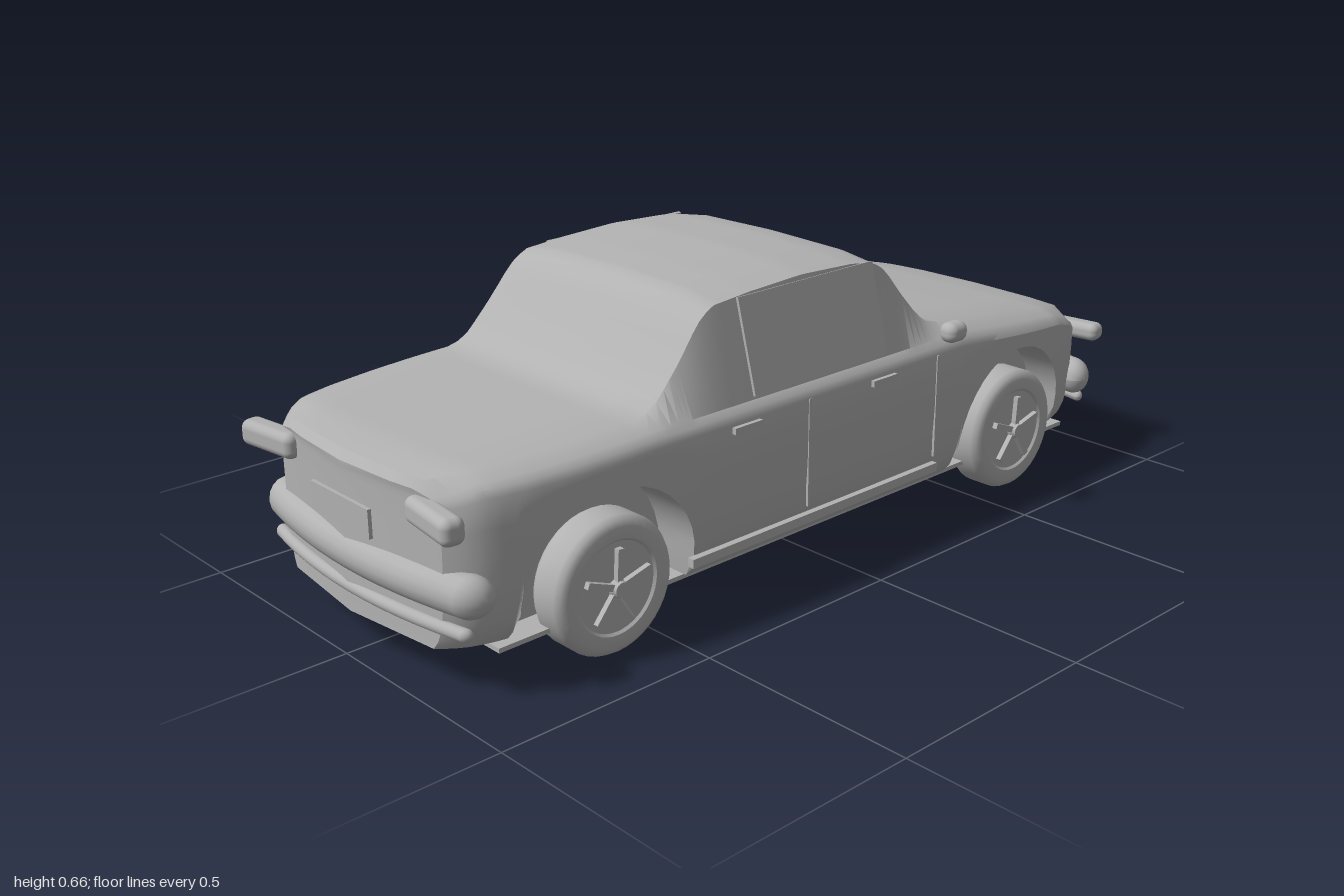
import * as THREE from 'three';
import { toCreasedNormals } from 'three/addons/utils/BufferGeometryUtils.js';
import { RoundedBoxGeometry } from 'three/addons/geometries/RoundedBoxGeometry.js';

const SILL = 0.09, ARCH_R = 0.205, ARCH_Y = 0.145, WHEELS = [-0.62, 0.615];

// Piecewise linear lookup in [key, value] pairs
function look(table, x) {
  if (x <= table[0][0]) return table[0][1];
  for (let i = 1; i < table.length; i++) {
    const [x0, y0] = table[i - 1], [x1, y1] = table[i];
    if (x <= x1) return y0 + (y1 - y0) * (x - x0) / (x1 - x0);
  }
  return table[table.length - 1][1];
}
const lerp = THREE.MathUtils.lerp;

const TOP = [[-0.985, 0.405], [-0.97, 0.422], [-0.9, 0.435], [-0.52, 0.447], [-0.49, 0.456], [-0.46, 0.475],
  [-0.40, 0.545], [-0.35, 0.612], [-0.33, 0.632], [-0.30, 0.648], [-0.2, 0.657], [-0.05, 0.664], [0.1, 0.657], [0.16, 0.648],
  [0.19, 0.635], [0.21, 0.617], [0.26, 0.55], [0.31, 0.49], [0.34, 0.467], [0.38, 0.455], [0.6, 0.428],
  [0.8, 0.398], [0.92, 0.373], [0.97, 0.348], [0.985, 0.335]];
const WIDTH = [[0, 0.378], [0.4, 0.377], [0.6, 0.372], [0.7, 0.365], [0.8, 0.352], [0.87, 0.336], [0.92, 0.32], [0.96, 0.3], [0.985, 0.275]];
const SHOULDER = [[-0.985, 0.375], [-0.9, 0.395], [-0.5, 0.405], [0.4, 0.405], [0.8, 0.365], [0.985, 0.31]];
const BELT = [[-0.985, 0.395], [-0.9, 0.42], [-0.5, 0.432], [0.4, 0.432], [0.8, 0.385], [0.985, 0.325]];
const SIDE = [[0.09, 0.88], [0.11, 0.93], [0.14, 0.965], [0.2, 0.99], [0.28, 1]];

// Half cross-section from the sill up to the centre of the roof
function halfSection(x, yb) {
  const w = look(WIDTH, Math.abs(x)), h = look(TOP, x);
  const ys = look(SHOULDER, x), belt = look(BELT, x), beltZ = w - 0.022;
  const pts = [];
  for (let j = 0; j <= 7; j++) {
    const y = lerp(yb, ys, Math.pow(j / 7, 1.4));
    pts.push([y, w * look(SIDE, y)]);
  }
  pts.push([lerp(ys, belt, 0.6), w - 0.008], [belt, beltZ]);
  const edgeZ = beltZ - 0.04 - 0.015 * (h - belt) / 0.23;
  pts.push([lerp(belt, h, 0.92), edgeZ], [lerp(belt, h, 0.98), 0.21 * w / 0.378], [h, 0]);
  const bow = 0.035 * THREE.MathUtils.smoothstep(Math.abs(x), 0.85, 0.985) * Math.sign(x);
  return pts.map(([y, z]) => new THREE.Vector3(x - bow * (z / w) ** 2, y, z));
}

function geometryFrom(points, index) {
  const g = new THREE.BufferGeometry().setFromPoints(points);
  g.setIndex(index);
  return toCreasedNormals(g, 0.5);
}

// Strip of faces between two equally long rows of points
function strip(a, b) {
  const index = [], n = a.length;
  for (let i = 0; i < n - 1; i++) index.push(i, i + 1, n + i + 1, i, n + i + 1, n + i);
  return geometryFrom([...a, ...b], index);
}

// Stations along the wheel opening, rear to front
function archStations(cx) {
  const list = [[cx - ARCH_R - 0.008, SILL]];
  for (let k = 0; k <= 18; k++) {
    const t = Math.PI * (1 - k / 18);
    list.push([cx + ARCH_R * Math.cos(t), ARCH_Y + ARCH_R * Math.sin(t)]);
  }
  list.push([cx + ARCH_R + 0.008, SILL]);
  return list;
}

function bodyGeometry() {
  const plain = xs => xs.map(x => [x, SILL]);
  const middle = [];
  for (let i = 0; i <= 38; i++) middle.push(-0.38 + i * 0.02);
  const ends = [0.985, 0.97, 0.95, 0.92, 0.89, 0.86];
  const stations = [...plain(ends.map(x => -x)), ...archStations(WHEELS[0]), ...plain(middle),
    ...archStations(WHEELS[1]), ...plain(ends.slice().reverse())];
  const points = [], index = [];
  let n = 0;
  for (const [x, yb] of stations) {
    const half = halfSection(x, yb);
    const ring = [...half, ...half.slice(0, -1).reverse().map(p => new THREE.Vector3(p.x, p.y, -p.z))];
    n = ring.length;
    points.push(...ring);
  }
  const quad = (a, b, c, d) => index.push(a, b, c, a, c, d);
  for (let i = 0; i < stations.length - 1; i++) {
    const p = i * n, q = p + n;
    for (let j = 0; j < n - 1; j++) quad(p + j, q + j, q + j + 1, p + j + 1);
    if (stations[i][1] === SILL && stations[i + 1][1] === SILL) quad(p, p + n - 1, q + n - 1, q);
  }
  // Nose and tail faces with a slightly pointed centre line
  const half = (n - 1) / 2;
  for (const [start, front] of [[0, false], [(stations.length - 1) * n, true]]) {
    const mid = points.length;
    for (let j = 0; j <= half; j++) points.push(new THREE.Vector3(front ? 0.985 : -0.985, points[start + j].y, 0));
    for (let j = 0; j < half; j++) {
      const l = start + j, r = start + n - 1 - j, m = mid + j;
      if (front) { quad(l, m, m + 1, l + 1); quad(m, r, r - 1, m + 1); }
      else { quad(m, l, l + 1, m + 1); quad(r, m, m + 1, r - 1); }
    }
  }
  return geometryFrom(points, index);
}

export function createModel() {
  const car = new THREE.Group();
  car.name = 'car';
  const grey = new THREE.MeshStandardMaterial({ color: 0xb2b2b2, side: THREE.DoubleSide });
  grey.name = 'plain grey';
  const add = (name, geometry, x = 0, y = 0, z = 0, parent = car) => {
    const mesh = new THREE.Mesh(geometry, grey);
    mesh.name = name;
    mesh.position.set(x, y, z);
    parent.add(mesh);
    return mesh;
  };
  const box = (name, w, h, d, x, y, z, parent) => add(name, new THREE.BoxGeometry(w, h, d), x, y, z, parent);
  const pill = (name, w, h, d, r, x, y, z) => add(name, new RoundedBoxGeometry(w, h, d, 4, r), x, y, z);

  add('body', bodyGeometry());
  box('floor', 1.74, 0.01, 0.65, 0, 0.085, 0);

  // Wheel wells
  for (const cx of WHEELS) for (const s of [1, -1]) {
    const rim = archStations(cx).map(([x, y]) => {
      const p = halfSection(x, y)[0];
      return p.setZ(p.z * s);
    });
    const inner = rim.map(p => new THREE.Vector3(p.x, p.y, 0.26 * s));
    add('wheelWell', strip(rim, inner));
    add('wheelWellWall', strip(inner, inner.map(p => new THREE.Vector3(p.x, SILL, p.z))));
  }

  // Wheels with rounded tyres and five spokes
  const tyre = new THREE.LatheGeometry([[0, -0.045], [0.1, -0.045], [0.125, -0.047], [0.138, -0.04], [0.145, -0.028],
    [0.145, 0.028], [0.138, 0.04], [0.125, 0.047], [0.1, 0.045], [0.095, 0.04], [0, 0.04]]
    .map(([r, y]) => new THREE.Vector2(r, y)), 40);
  tyre.rotateX(Math.PI / 2);
  const tyreGeometry = toCreasedNormals(tyre, 0.7);
  for (const cx of WHEELS) for (const s of [1, -1]) {
    const wheel = new THREE.Group();
    wheel.name = 'wheel';
    wheel.position.set(cx, 0.147, 0.327 * s);
    if (s < 0) wheel.rotation.y = Math.PI;
    car.add(wheel);
    add('tyre', tyreGeometry, 0, 0, 0, wheel);
    const hub = add('hub', new THREE.CylinderGeometry(0.016, 0.02, 0.022, 16), 0, 0, 0.048, wheel);
    hub.rotation.x = Math.PI / 2;
    for (let k = 0; k < 5; k++) {
      const a = k * Math.PI * 2 / 5 + 0.25;
      box('spoke', 0.075, 0.014, 0.016, 0.045 * Math.cos(a), 0.045 * Math.sin(a), 0.044, wheel).rotation.z = a;
    }
  }

  // Bumpers and lower bars, bowed towards the middle
  const bowed = (name, radius, height, length, tip, y, s) => {
    const g = new THREE.CapsuleGeometry(radius, length - 2 * radius, 6, 16, 12);
    g.rotateX(Math.PI / 2);
    g.scale(1, height / (2 * radius), 1);
    const p = g.attributes.position;
    for (let i = 0; i < p.count; i++) p.setX(i, s * (tip - radius + p.getX(i) - 0.045 * (p.getZ(i) / 0.36) ** 2));
    if (s < 0) {
      const ids = g.index.array;
      for (let i = 0; i < ids.length; i += 3) [ids[i], ids[i + 1]] = [ids[i + 1], ids[i]];
    }
    g.computeVertexNormals();
    add(name, g, 0, y, 0);
  };
  for (const s of [1, -1]) {
    bowed('bumper', 0.042, 0.088, 0.72, 1, s > 0 ? 0.198 : 0.212, s);
    bowed('lowerBar', 0.014, 0.028, 0.67, 0.99, 0.141, s);
  }

  // Nose: grille, headlamps, plate and hood catch
  box('grille', 0.02, 0.07, 0.356, 0.978, 0.28, 0);
  for (let k = 0; k < 7; k++) box('grilleSlat', 0.01, 0.005, 0.345, 0.99, 0.252 + k * 0.0095, 0);
  box('frontPlate', 0.008, 0.022, 0.24, 0.996, 0.225, 0);
  box('hoodCatch', 0.018, 0.02, 0.054, 0.978, 0.325, 0);
  // Tail plate
  box('rearPlate', 0.008, 0.06, 0.2, -0.988, 0.305, 0);

  for (const s of [1, -1]) {
    pill('headlamp', 0.05, 0.044, 0.172, 0.018, 0.958, 0.308, 0.27 * s).rotation.y = 0.13 * s;
    pill('tailLamp', 0.05, 0.055, 0.16, 0.018, -0.965, 0.365, 0.28 * s).rotation.y = -0.13 * s;
    pill('mirror', 0.06, 0.046, 0.047, 0.02, 0.33, 0.462, 0.402 * s);
    // Side glass follows the slope of the cabin
    const glass = box('sideWindow', 0.4, 0.203, 0.008, -0.04, 0.537, 0.33 * s);
    glass.rotation.x = -0.26 * s;
    box('sillTrim', 0.75, 0.02, 0.016, -0.055, 0.137, 0.372 * s);
    for (const x of [-0.283, 0.127]) box('doorHandle', 0.075, 0.014, 0.012, x, 0.392, 0.381 * s);
    for (const x of [-0.1, 0.31]) box('doorSeam', 0.006, 0.24, 0.006, x, 0.285, 0.377 * s);
  }
  box('wiper', 0.008, 0.008, 0.47, 0.38, 0.458, 0);

  return car;
}
